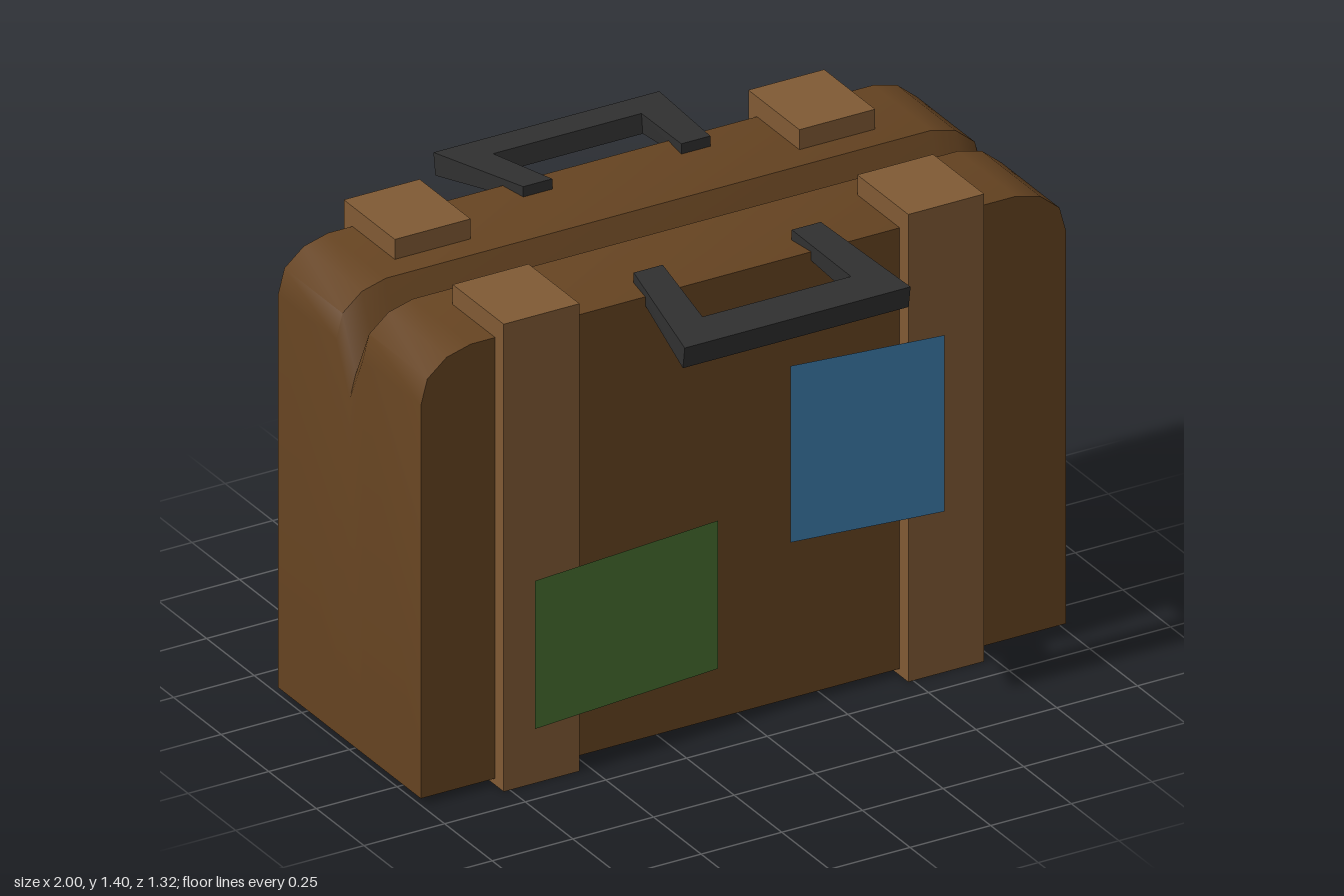
import * as THREE from 'three';
import { toCreasedNormals } from 'three/addons/utils/BufferGeometryUtils.js';

const paint = (color, side = THREE.FrontSide) => {
  const m = new THREE.MeshStandardMaterial({ side });
  m.color.set(color);
  return m;
};

function part(name, geometry, material) {
  const mesh = new THREE.Mesh(geometry, material);
  mesh.name = name;
  return mesh;
}

// Case shell: rounded-top outline lofted along z, dipping into a V groove at the middle
function caseGeometry() {
  const corner = [[1, 1.2], [0.98, 1.275], [0.92, 1.325], [0.845, 1.345]];
  const top = [...corner, ...corner.map(([x, y]) => [-x, y]).reverse()];
  const section = (z, drop) => [
    [-1, 0.02, z], [1, 0.02, z], ...top.map(([x, y]) => [x, y - drop, z]),
  ];
  const rings = [[-0.375, 0], [-0.07, 0], [0, 0.15], [0.07, 0], [0.375, 0]]
    .map(([z, drop]) => section(z, drop));
  const n = rings[0].length;
  const pos = [];
  const tri = (...pts) => pts.forEach((p) => pos.push(...p));

  for (let i = 0; i < rings.length - 1; i++) {
    for (let j = 0; j < n; j++) {
      const k = (j + 1) % n;
      const [a, b, c, d] = [rings[i][j], rings[i][k], rings[i + 1][k], rings[i + 1][j]];
      tri(a, b, c);
      tri(a, c, d);
    }
  }
  // Flat front and back
  const back = rings[0], front = rings[rings.length - 1];
  for (let j = 1; j < n - 1; j++) {
    tri(front[0], front[j], front[j + 1]);
    tri(back[0], back[j + 1], back[j]);
  }
  const g = new THREE.BufferGeometry();
  g.setAttribute('position', new THREE.Float32BufferAttribute(pos, 3));
  return toCreasedNormals(g, 0.75);
}

// Handle: open trapezoid frame, drooping and thickening outwards
function handleGeometry() {
  const outline = [
    [-0.29, 0.29], [-0.2, 0.29], [-0.23, 0.55], [0.23, 0.55],
    [0.2, 0.29], [0.29, 0.29], [0.35, 0.66], [-0.35, 0.66],
  ].map(([x, z]) => new THREE.Vector2(x, z));
  const g = new THREE.ExtrudeGeometry(new THREE.Shape(outline), { depth: 1, bevelEnabled: false });
  const p = g.attributes.position;
  for (let i = 0; i < p.count; i++) {
    const z = p.getY(i), below = p.getZ(i);
    const t = (z - 0.29) / 0.37;
    const y = 1.376 - 0.046 * t - below * (0.041 + 0.024 * t);
    p.setXYZ(i, p.getX(i), y, z - 0.01 * t * below);
  }
  g.computeVertexNormals();
  return g;
}

// Sticker: flat sheet whose two upright edges sit at different depths
function stickerGeometry(x0, x1, y0, y1, zLeft, zRight) {
  const g = new THREE.PlaneGeometry(x1 - x0, y1 - y0);
  g.translate((x0 + x1) / 2, (y0 + y1) / 2, 0);
  const p = g.attributes.position;
  for (let i = 0; i < p.count; i++) {
    p.setZ(i, p.getX(i) < (x0 + x1) / 2 ? zLeft : zRight);
  }
  g.computeVertexNormals();
  return g;
}

export function createModel() {
  const model = new THREE.Group();
  model.name = 'suitcase';

  model.add(part('caseBody', caseGeometry(), paint(0x654321)));

  // Straps wrapping each half, and one handle per half
  const strapMat = paint(0x805a34);
  const handleMat = paint(0x303030);
  const handleGeo = handleGeometry();
  for (const side of [1, -1]) {
    const face = side > 0 ? 'front' : 'back';
    for (const x of [-0.652, 0.602]) {
      const strap = part(face + 'Strap', new THREE.BoxGeometry(0.235, 1.405, 0.268), strapMat);
      strap.position.set(x, 0.7025, side * 0.286);
      model.add(strap);
    }
    const handle = part(face + 'Handle', handleGeo, handleMat);
    if (side < 0) handle.rotation.y = Math.PI;
    model.add(handle);
  }

  // Travel stickers leaning from the straps onto the front face
  model.add(part('greenSticker', stickerGeometry(-0.685, -0.085, 0.175, 0.62, 0.44, 0.386),
    paint(0x4b7332, THREE.DoubleSide)));
  model.add(part('blueSticker', stickerGeometry(0.14, 0.585, 0.495, 1.025, 0.386, 0.44),
    paint(0x3873a0, THREE.DoubleSide)));

  return model;
}
